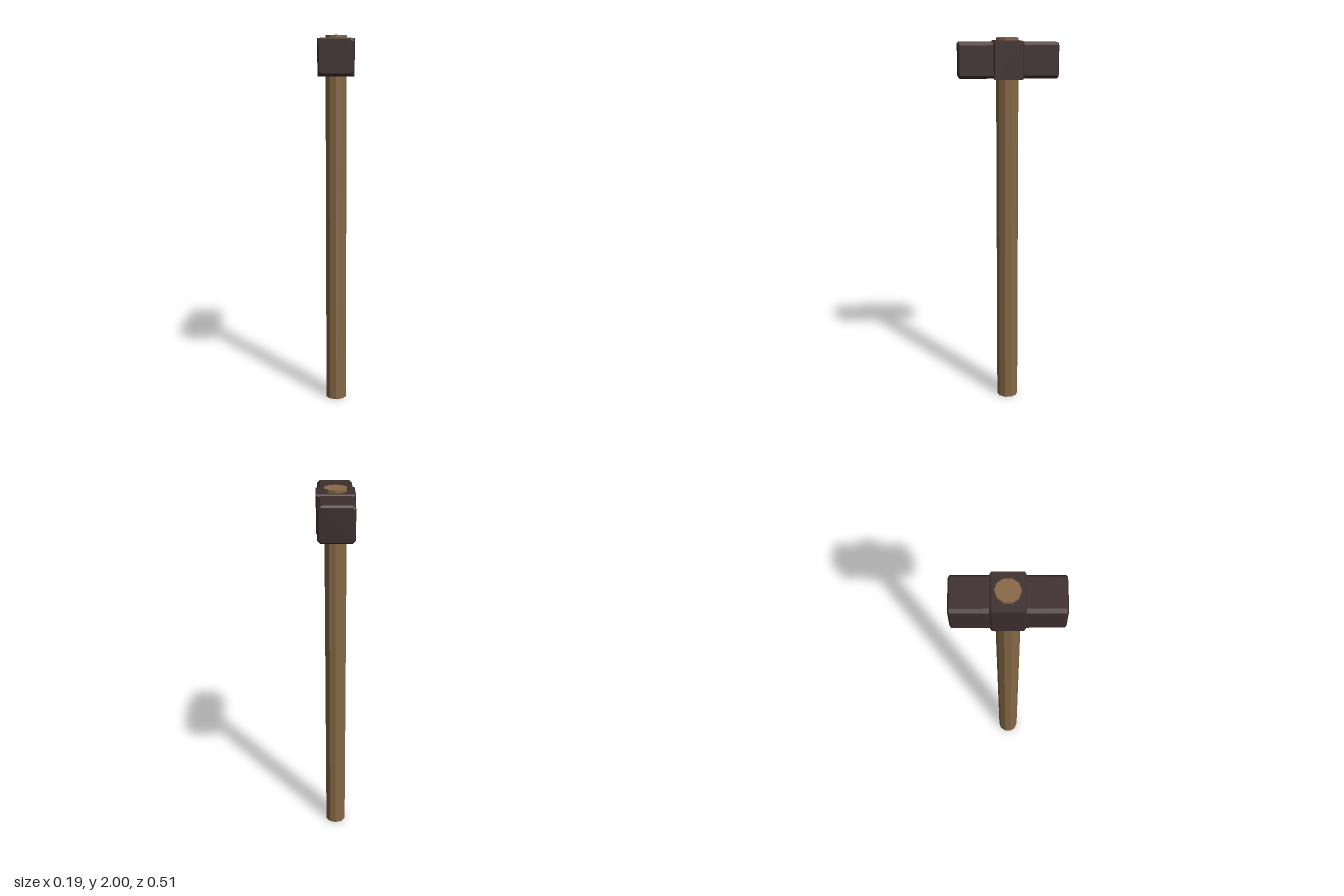
import * as THREE from 'three';

const HEAD_Y = 1.888;

// Square bar along z with chamfered long edges and bevelled ends
function bar(half, chamfer, length, bevel) {
  const h = half, k = half - chamfer;
  const corners = chamfer > 0
    ? [[h, -k], [h, k], [k, h], [-k, h], [-h, k], [-h, -k], [-k, -h], [k, -h]]
    : [[h, -h], [h, h], [-h, h], [-h, -h]];
  const shape = new THREE.Shape(corners.map(([x, y]) => new THREE.Vector2(x, y)));
  const depth = length - 2 * bevel;
  const geometry = new THREE.ExtrudeGeometry(shape, {
    depth, bevelEnabled: true, bevelThickness: bevel, bevelSize: bevel,
    bevelOffset: -bevel, bevelSegments: 1,
  });
  return geometry.translate(0, HEAD_Y, -depth / 2);
}

export function createModel() {
  const group = new THREE.Group();
  const wood = new THREE.MeshStandardMaterial({ color: 0x876846, flatShading: true });
  const iron = new THREE.MeshStandardMaterial({ color: 0x3f2f2f, flatShading: true });

  const add = (name, geometry, material) => {
    const mesh = new THREE.Mesh(geometry, material);
    mesh.name = name;
    group.add(mesh);
  };

  // Ten-sided shaft running up through the head
  add('handle', new THREE.CylinderGeometry(0.058, 0.058, 2, 10).translate(0, 1, 0), wood);

  // Long striking bar and the thicker collar around the shaft
  add('hammerHead', bar(0.09, 0.015, 0.512, 0.008), iron);
  add('headCollar', bar(0.096, 0, 0.158, 0.008), iron);

  return group;
}
